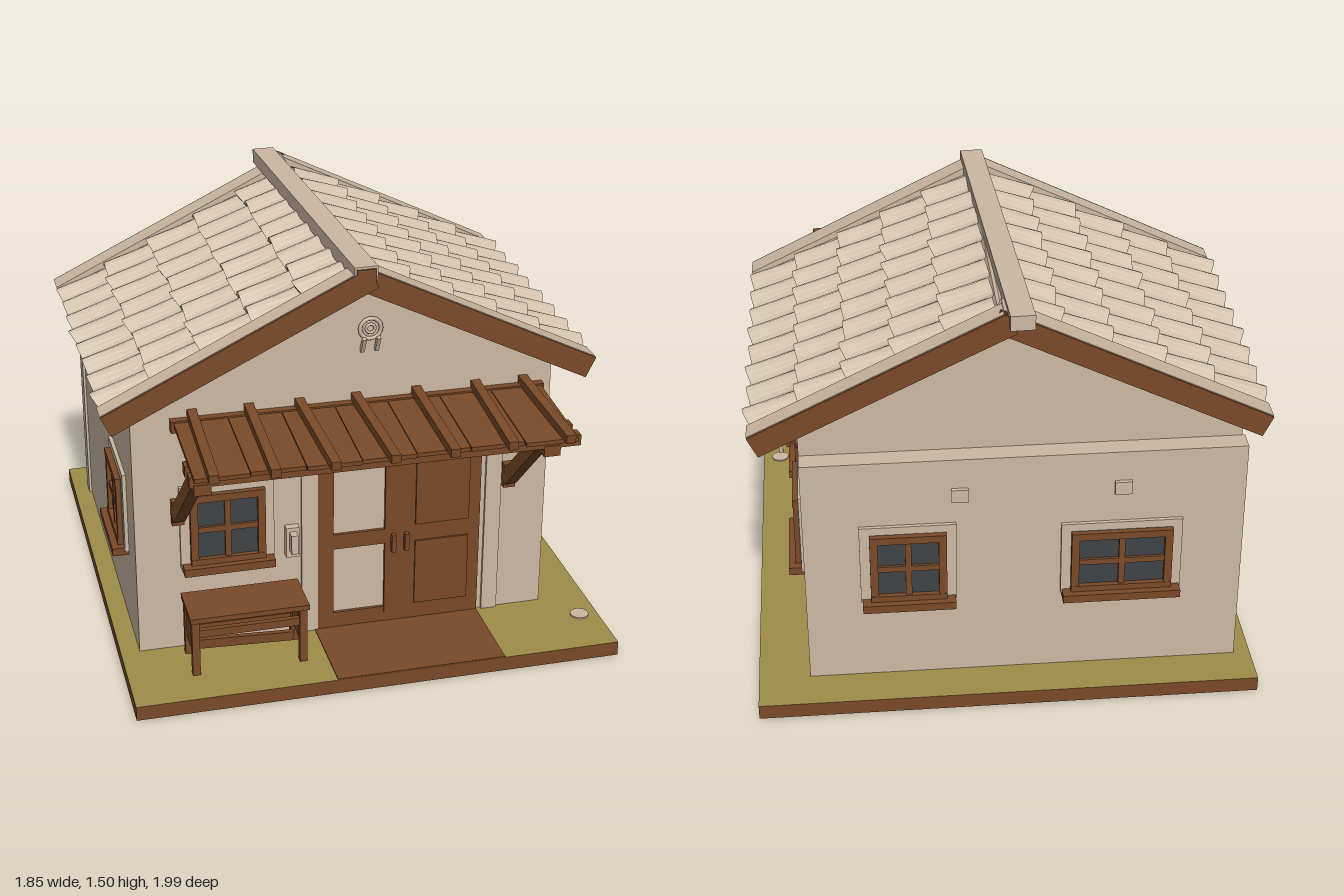
import * as THREE from 'three';

const mat = (name, color, side = THREE.FrontSide) => {
  const m = new THREE.MeshStandardMaterial({ color, side });
  m.name = name;
  return m;
};

export function createModel() {
  const house = new THREE.Group();
  house.name = 'cottage';
  const plaster = mat('plaster', 0xcdb9a3);
  const tile = mat('clay tile', 0xd3c1ac, THREE.DoubleSide);
  const wood = mat('wood', 0x7a4a28, THREE.DoubleSide);
  const grass = mat('grass', 0x9f8d49);
  const glass = mat('glass', 0x404346);

  let seed = 7;
  const rand = () => (seed = (seed * 16807) % 2147483647) / 2147483647 - 0.5;

  const add = (parent, name, geometry, material, x = 0, y = 0, z = 0) => {
    const m = new THREE.Mesh(geometry, material);
    m.name = name;
    m.position.set(x, y, z);
    parent.add(m);
    return m;
  };
  const group = (parent, name, x = 0, y = 0, z = 0, ry = 0) => {
    const g = new THREE.Group();
    g.name = name;
    g.position.set(x, y, z);
    g.rotation.y = ry;
    parent.add(g);
    return g;
  };
  // Box given by its extents
  const box = (parent, name, material, x0, x1, y0, y1, z0, z1) =>
    add(parent, name, new THREE.BoxGeometry(x1 - x0, y1 - y0, z1 - z0), material,
      (x0 + x1) / 2, (y0 + y1) / 2, (z0 + z1) / 2);
  // Square beam between two points
  const beam = (parent, name, a, b, w, h, material = wood) => {
    const A = new THREE.Vector3(...a), B = new THREE.Vector3(...b);
    const m = add(parent, name, new THREE.BoxGeometry(w, h, A.distanceTo(B)), material);
    m.position.copy(A).add(B).multiplyScalar(0.5);
    m.lookAt(B);
    return m;
  };

  // Ground slab with the path to the door
  box(house, 'groundSlab', [wood, wood, grass, plaster, wood, wood], -0.88, 0.92, 0, 0.055, -1, 0.89);
  box(house, 'doorPath', wood, -0.15, 0.48, 0.054, 0.059, 0.5, 0.889);
  add(house, 'steppingStone', new THREE.CylinderGeometry(0.035, 0.035, 0.006, 16), plaster, 0.85, 0.057, 0.67);

  // Walls with gables, and the thicker lower back wall
  const outline = new THREE.Shape([[-0.81, 0.05], [0.735, 0.05], [0.735, 1.06], [0.03, 1.405], [-0.81, 1.0]]
    .map(p => new THREE.Vector2(...p)));
  add(house, 'walls', new THREE.ExtrudeGeometry(outline, { depth: 1.3, bevelEnabled: false }), plaster, 0, 0, -0.77);
  box(house, 'backWall', plaster, -0.82, 0.735, 0.05, 0.95, -0.845, -0.769);
  for (const x of [0.185, -0.385]) box(house, 'backVent', plaster, x - 0.03, x + 0.03, 0.785, 0.835, -0.86, -0.84);

  // One row of corrugated tiles: rolls run across z, the lower end lifts over the next row
  const tileRow = (parent, x0, x1, z0, z1) => {
    const rolls = 8, per = 8, n = rolls * per;
    const top = [], gap = [];
    const lift = Array.from({ length: rolls }, () => rand() * 0.008);
    const slide = Array.from({ length: rolls }, () => rand() * 0.022);
    const ring = i => {
      const z = z0 + (z1 - z0) * i / n, p = 0.5 - 0.5 * Math.cos(i / per * 2 * Math.PI);
      const k = Math.min(rolls - 1, Math.floor(i / per));
      const xe = x1 + slide[k] * p, ye = -0.012 + (0.036 + lift[k]) * p;
      return [[x0, -0.025 + 0.02 * p, z], [xe, ye, z], [xe - 0.002, ye - 0.012, z], [xe - 0.004, -0.035, z]];
    };
    for (let i = 0; i < n; i++) {
      const a = ring(i), b = ring(i + 1);
      for (let j = 0; j < 3; j++)
        (j < 2 ? top : gap).push(...a[j], ...b[j], ...b[j + 1], ...a[j], ...b[j + 1], ...a[j + 1]);
    }
    [[top, tile, 'tileRow'], [gap, wood, 'tileGap']].forEach(([pos, m, name]) => {
      const g = new THREE.BufferGeometry();
      g.setAttribute('position', new THREE.Float32BufferAttribute(pos, 3));
      g.computeVertexNormals();
      add(parent, name, g, m);
    });
  };

  // Roof slope: local x runs down from the ridge
  const slope = (name, ry, angle, length, z0, z1) => {
    const g = group(house, name, 0.03, 1.485, 0);
    g.rotation.set(0, ry, -angle);
    box(g, 'roofDeck', [plaster, plaster, plaster, plaster, wood, wood], 0, length, -0.08, -0.03, z0, z1);
    for (const [a, b] of [[z0, z0 + 0.08], [z1 - 0.09, z1]])
      box(g, 'roofBorder', plaster, 0, length, -0.031, 0.002, a, b);
    for (const [a, b] of [[z0 - 0.008, z0], [z1, z1 + 0.008]])
      box(g, 'bargeBoard', wood, -0.01, length, -0.083, 0, a, b);
    const rows = 5, start = 0.03, pitch = (length - start - 0.005) / rows;
    for (let r = 0; r < rows; r++)
      tileRow(g, start + r * pitch - (r ? 0.015 : 0), start + (r + 1) * pitch, z0 + 0.08, z1 - 0.09);
  };
  slope('rightRoof', 0, 0.456, 0.975, -0.81, 0.53);
  slope('leftRoof', Math.PI, 0.452, 1.05, -0.55, 0.78);
  const ridge = beam(house, 'ridgeCap', [-0.03, 1.468, -0.845], [0.03, 1.468, 0.555], 0.085, 0.055, plaster);
  ridge.name = 'ridgeCap';
  beam(house, 'ridgeEnd', [0.03, 1.462, 0.54], [0.03, 1.462, 0.562], 0.07, 0.05);

  // Windows, built facing +z
  const windowUnit = (name, x, z, ry, w, y0 = 0.39, y1 = 0.665) => {
    const g = group(house, name, x, 0, z, ry), h = w / 2, t = 0.028;
    box(g, 'surround', plaster, -h - 0.035, h + 0.035, y0 - 0.01, y1 + 0.03, -0.01, 0.014);
    box(g, 'pane', glass, -h, h, y0, y1, 0.01, 0.018);
    for (const s of [-1, 1]) box(g, 'stile', wood, s * (h - t / 2) - t / 2, s * (h - t / 2) + t / 2, y0, y1, 0, 0.034);
    for (const y of [y0, y1 - t]) box(g, 'rail', wood, -h, h, y, y + t, 0, 0.036);
    const ym = (y0 + y1) / 2;
    box(g, 'mullion', wood, -0.011, 0.011, y0, y1, 0, 0.028);
    box(g, 'crossBar', wood, -h, h, ym - 0.011, ym + 0.011, 0, 0.028);
    box(g, 'sill', wood, -h - 0.03, h + 0.03, y0 - 0.025, y0 + 0.005, 0, 0.06);
  };
  windowUnit('frontWindow', -0.475, 0.53, 0, 0.275, 0.4, 0.685);
  for (const z of [0.175, -0.48]) windowUnit('rightWindow', 0.735, z, Math.PI / 2, 0.27);
  windowUnit('leftWindow', -0.81, 0.19, -Math.PI / 2, 0.27);
  windowUnit('backWindow', 0.37, -0.845, Math.PI, 0.27);
  windowUnit('backWideWindow', -0.385, -0.845, Math.PI, 0.36, 0.39, 0.64);

  // Double door: open-framed left leaf, panelled right leaf
  const door = group(house, 'door', 0, 0, 0.53);
  box(door, 'leftStile', wood, -0.14, -0.08, 0.055, 0.8, -0.01, 0.012);
  box(door, 'bottomRail', wood, -0.14, 0.12, 0.055, 0.12, -0.01, 0.012);
  box(door, 'middleRail', wood, -0.14, 0.12, 0.39, 0.45, -0.01, 0.012);
  box(door, 'rightLeaf', wood, 0.115, 0.48, 0.055, 0.8, -0.01, 0.014);
  for (const [a, b] of [[0.125, 0.39], [0.46, 0.755]]) box(door, 'doorPanel', wood, 0.23, 0.435, a, b, 0.01, 0.022);
  for (const x of [0.145, 0.195]) box(door, 'doorHandle', wood, x - 0.008, x + 0.008, 0.36, 0.43, 0.01, 0.035);
  for (const x of [-0.17, 0.53]) box(door, 'doorJamb', plaster, x - 0.03, x + 0.03, 0.055, 0.9, -0.01, 0.012);

  // Porch awning
  const awning = group(house, 'awning');
  for (let i = 0; i < 7; i++) {
    const x = -0.66 + i * 0.193;
    beam(awning, 'awningBoard', [x + 0.096, 0.975, 0.5], [x + 0.096, 0.945, 0.94 + rand() * 0.02], 0.191, 0.016);
  }
  for (let i = 0; i < 7; i++) {
    const x = -0.61 + i * 0.208, d = rand() * 0.04;
    beam(awning, 'rafter', [x + d, 1.0, 0.5], [x + 0.01, 0.966, 0.985 + rand() * 0.02], 0.034, 0.032);
  }
  for (const z of [0.8, 0.885]) box(awning, 'crossBeam', wood, -0.67, 0.715, 0.9, 0.94, z - 0.022, z + 0.022);
  box(awning, 'wallBeam', wood, -0.67, 0.7, 0.94, 0.985, 0.52, 0.56);
  for (const [x, lean] of [[-0.655, 0.03], [0.585, 0.025]]) {
    beam(awning, 'brace', [x, 0.61, 0.55], [x + lean, 0.91, 0.83], 0.045, 0.05);
    box(awning, 'braceFoot', wood, x - 0.022, x + 0.022, 0.575, 0.67, 0.525, 0.56);
    box(awning, 'bracePlate', wood, x + lean - 0.03, x + lean + 0.03, 0.87, 0.91, 0.76, 0.91);
  }

  // Bench under the front window
  const bench = group(house, 'bench');
  box(bench, 'benchTop', wood, -0.655, -0.22, 0.275, 0.295, 0.555, 0.75);
  for (const x of [-0.635, -0.24]) {
    for (const z of [0.575, 0.725]) box(bench, 'benchLeg', wood, x - 0.014, x + 0.014, 0.055, 0.28, z - 0.014, z + 0.014);
    box(bench, 'benchEnd', wood, x - 0.008, x + 0.008, 0.13, 0.275, 0.575, 0.725);
  }
  box(bench, 'benchApron', wood, -0.635, -0.24, 0.205, 0.235, 0.712, 0.732);
  beam(bench, 'benchStretcher', [-0.63, 0.165, 0.7], [-0.25, 0.085, 0.6], 0.02, 0.035);
  box(bench, 'benchBack', wood, -0.635, -0.24, 0.12, 0.17, 0.57, 0.585);

  // Hooks with a hanging bar on the right wall
  for (const z of [0.19, -0.47]) {
    const g = group(house, 'wallHook', 0.735, 0.835, z, Math.PI / 2);
    const disc = add(g, 'hookPlate', new THREE.CylinderGeometry(0.033, 0.033, 0.016, 12), wood, 0, 0, 0.006);
    disc.rotation.x = Math.PI / 2;
    beam(g, 'hookStem', [0, 0, 0], [0, 0, 0.065], 0.018, 0.018);
    box(g, 'hookBar', plaster, -0.008, 0.008, -0.05, 0.05, 0.06, 0.074);
    box(g, 'hookCross', wood, -0.035, 0.035, -0.009, 0.009, 0.03, 0.046);
  }

  // Front wall fittings: lamp box, arched hook and gable ring
  box(house, 'lampBox', plaster, -0.262, -0.212, 0.39, 0.51, 0.52, 0.56);
  box(house, 'lampFace', plaster, -0.25, -0.224, 0.42, 0.495, 0.55, 0.595);
  const arch = group(house, 'archHook', -0.5, 0.825, 0.565);
  add(arch, 'archBow', new THREE.TorusGeometry(0.034, 0.008, 6, 14, Math.PI), plaster);
  for (const s of [-1, 1]) beam(arch, 'archLeg', [s * 0.034, 0, 0], [s * 0.043, -0.045, 0], 0.015, 0.015, plaster);
  beam(arch, 'archStem', [0, 0.034, -0.04], [0, 0.034, 0.03], 0.015, 0.015, plaster);
  const ring = group(house, 'gableRing', 0.05, 1.26, 0.545);
  add(ring, 'ringOuter', new THREE.TorusGeometry(0.038, 0.008, 6, 18), plaster);
  add(ring, 'ringInner', new THREE.TorusGeometry(0.016, 0.006, 6, 12), plaster);
  for (const s of [-1, 1]) beam(ring, 'ringTail', [s * 0.02, -0.03, 0], [s * 0.032, -0.09, 0], 0.014, 0.014, plaster);

  return house;
}
